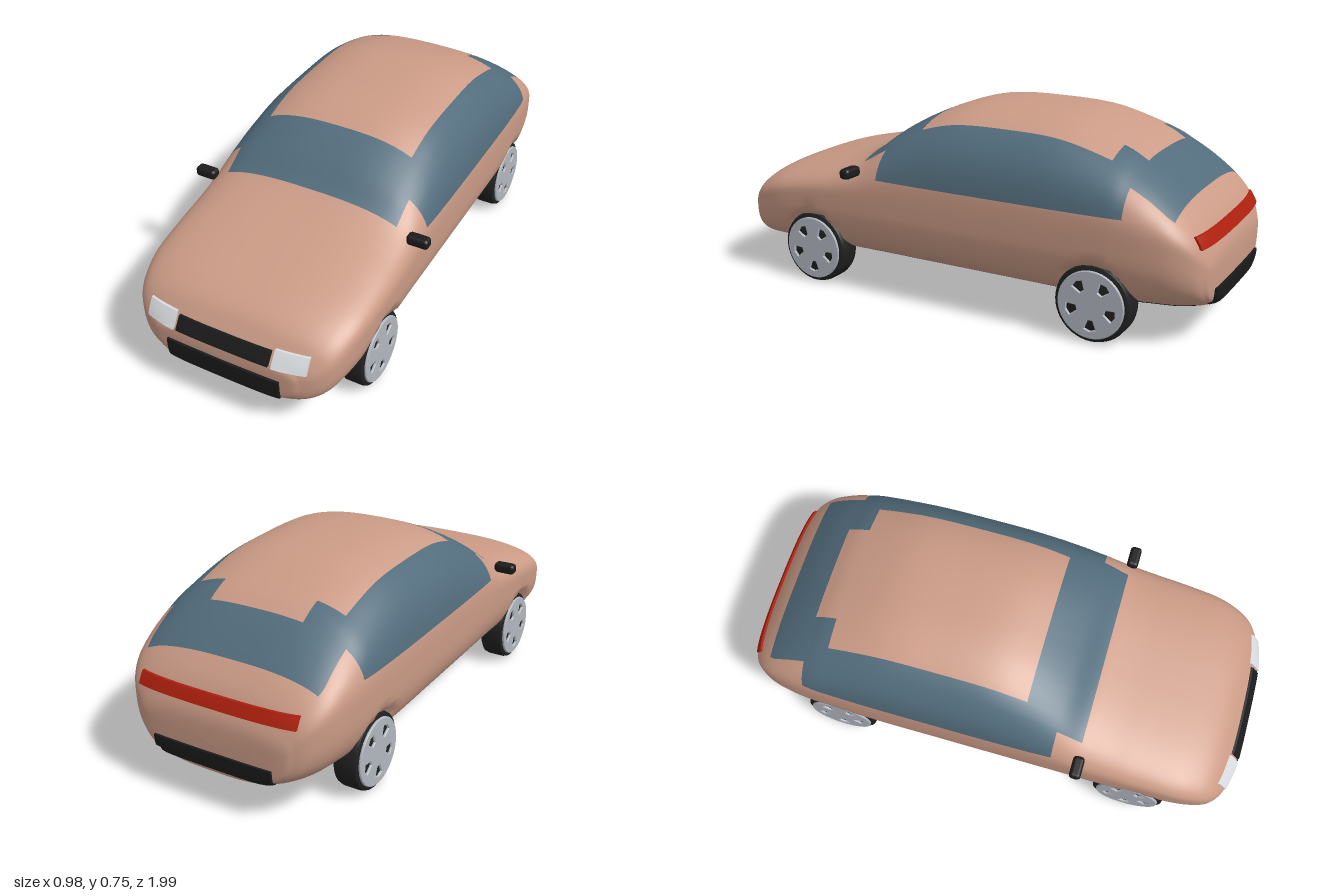
import * as THREE from 'three';
import { toCreasedNormals } from 'three/addons/utils/BufferGeometryUtils.js';
import { RoundedBoxGeometry } from 'three/addons/geometries/RoundedBoxGeometry.js';

const mat = (name, color) => {
  const m = new THREE.MeshStandardMaterial({ color });
  m.name = name;
  return m;
};

// Body stations from nose to tail: z, top y, widest y, bottom y, half width
const stations = [
  [0.985, 0.24, 0.24, 0.24, 0], [0.98, 0.29, 0.24, 0.15, 0.24], [0.965, 0.315, 0.245, 0.125, 0.3],
  [0.94, 0.35, 0.26, 0.11, 0.35], [0.9, 0.395, 0.29, 0.1, 0.388], [0.84, 0.43, 0.32, 0.1, 0.412],
  [0.75, 0.46, 0.35, 0.1, 0.428], [0.6, 0.495, 0.37, 0.1, 0.435], [0.48, 0.523, 0.38, 0.1, 0.437],
  [0.38, 0.56, 0.39, 0.1, 0.438], [0.28, 0.635, 0.39, 0.1, 0.438], [0.15, 0.7, 0.39, 0.1, 0.438],
  [0, 0.742, 0.39, 0.1, 0.438], [-0.2, 0.75, 0.39, 0.1, 0.438], [-0.42, 0.738, 0.39, 0.1, 0.438],
  [-0.62, 0.677, 0.4, 0.1, 0.435], [-0.71, 0.63, 0.4, 0.1, 0.43], [-0.79, 0.577, 0.395, 0.105, 0.42],
  [-0.87, 0.51, 0.38, 0.11, 0.4], [-0.93, 0.445, 0.35, 0.12, 0.365], [-0.965, 0.385, 0.31, 0.13, 0.32],
  [-0.985, 0.33, 0.27, 0.15, 0.25], [-0.99, 0.25, 0.25, 0.25, 0],
];
const WHEEL_Z = 0.604, WHEEL_Y = 0.143;
const TOP = 2.7, LOW = 3; // roundness of the upper and lower section halves

// Smooth interpolation through the stations
function sectionAt(i, t) {
  const at = k => stations[THREE.MathUtils.clamp(k, 0, stations.length - 1)];
  const [a, b, c, d] = [at(i - 1), at(i), at(i + 1), at(i + 2)];
  return b.map((p, k) => 0.5 * (2 * p + (c[k] - a[k]) * t
    + (2 * a[k] - 5 * p + 4 * c[k] - d[k]) * t * t
    + (3 * p - a[k] - 3 * c[k] + d[k]) * t * t * t));
}

// Angles that divide a section: roof lines, beltline, widest line, sill, underside line
function sectionBreaks([, yT, yM, , W]) {
  const atX = (x, f) => Math.asin(Math.min(x / (W + 1e-6), f) ** (TOP / 2));
  const belt = Math.min(0.5, (0.47 - yM) / (yT - yM + 1e-6));
  return [0, atX(0.19, 0.45), atX(0.3, 0.72), atX(0.355, 0.87), Math.acos(belt ** (TOP / 2)), Math.PI / 2,
    Math.PI - Math.acos(0.83 ** (LOW / 2)),
    Math.PI - Math.asin(Math.min(0.14 / (W + 1e-6), 0.45) ** (LOW / 2)), Math.PI];
}

function bodyPoint([z, yT, yM, yB, W], a) {
  const e = 2 / (Math.abs(a) <= Math.PI / 2 ? TOP : LOW), c = Math.cos(a), s = Math.sin(a);
  const y = yM + (c > 0 ? yT - yM : yM - yB) * Math.sign(c) * Math.abs(c) ** e;
  let x = W * Math.abs(s) ** e;
  // shallow recess behind each wheel
  const r = Math.hypot(Math.abs(z) - WHEEL_Z, y - WHEEL_Y);
  x = Math.min(x, THREE.MathUtils.lerp(Math.min(x, 0.39), x, THREE.MathUtils.smoothstep(r, 0.138, 0.16)));
  return [x * Math.sign(s), y, z];
}

// Material slots: 0 paint, 1 glass, 2 black, 3 lamp, 4 red
function bodyColour(band, side, z) {
  const between = (lo, hi) => z > lo && z < hi;
  if (band <= 2 && between(0.15, 0.38)) return 1;
  if ((band === 2 || band === 3) && between(-0.71, 0.28)) return 1;
  if (band <= 2 && between(-0.87, band === 0 ? -0.71 : -0.62)) return 1;
  if (band >= 6 && between(0.38, 0.94)) return band === 6 && side > 0 ? 4 : 3;
  if (band >= 6 && between(-0.93, 0.38)) return 2;
  return 0;
}

function bodyGeometry() {
  const divs = [4, 3, 3, 5, 5, 12, 4, 4], steps = 8;
  // Half ring of (band, fraction), then mirrored to the full ring
  const half = divs.flatMap((n, band) => Array.from({ length: n }, (_, k) => ({ band, f: k / n })));
  const n = half.length, ringSize = 2 * n, rings = [];
  for (let i = 0; i < stations.length - 1; i++)
    for (let k = 0; k < steps; k++) rings.push(sectionAt(i, k / steps));
  rings.push(stations[stations.length - 1]);

  const pos = [], slots = [[], [], [], [], []];
  rings.forEach((sec, i) => {
    const br = sectionBreaks(sec);
    const angles = half.map(({ band, f }) => THREE.MathUtils.lerp(br[band], br[band + 1], f));
    angles.push(Math.PI);
    for (let j = -n; j < n; j++) {
      pos.push(...bodyPoint(sec, Math.sign(j) * angles[Math.abs(j)]));
      if (i === rings.length - 1) continue;
      const band = half[j >= 0 ? j : -j - 1].band;
      const slot = bodyColour(band, j >= 0 ? 1 : -1, (sec[0] + rings[i + 1][0]) / 2);
      const a = i * ringSize + j + n, b = i * ringSize + (j + n + 1) % ringSize;
      slots[slot].push(a, b, a + ringSize, b, b + ringSize, a + ringSize);
    }
  });
  const geo = new THREE.BufferGeometry();
  geo.setAttribute('position', new THREE.Float32BufferAttribute(pos, 3));
  geo.setIndex(slots.flat());
  let start = 0;
  slots.forEach((s, k) => { geo.addGroup(start, s.length, k); start += s.length; });
  geo.computeVertexNormals();
  return geo;
}

// Thin plate wrapped onto the nose (dir 1) or tail (dir -1) of the body
function wrappedPlate(body, dir, x, y, w, h, thick) {
  const geo = new THREE.BoxGeometry(w, h, thick * 2, 20, 4, 1).translate(x, y, 0);
  const p = geo.attributes.position, ray = new THREE.Raycaster();
  for (let i = 0; i < p.count; i++) {
    ray.set(new THREE.Vector3(p.getX(i), p.getY(i), 2 * dir), new THREE.Vector3(0, 0, -dir));
    const hit = ray.intersectObject(body)[0];
    p.setZ(i, p.getZ(i) + (hit ? hit.point.z : 0.9 * dir));
  }
  geo.computeVertexNormals();
  return geo;
}

// Rim disc with five tapered openings
function rimGeometry() {
  const shape = new THREE.Shape().absarc(0, 0, 0.122, 0, Math.PI * 2);
  for (let k = 0; k < 5; k++) {
    const mid = -Math.PI / 2 + k * Math.PI * 0.4;
    const corners = [[0.055, -0.2], [0.094, -0.27], [0.1, 0], [0.094, 0.27], [0.055, 0.2]];
    shape.holes.push(new THREE.Path(corners.map(([r, a]) =>
      new THREE.Vector2(r * Math.cos(mid + a), r * Math.sin(mid + a)))));
  }
  return new THREE.ExtrudeGeometry(shape, { depth: 0.009, bevelEnabled: true, bevelSize: 0.003,
    bevelThickness: 0.003, bevelSegments: 1, curveSegments: 40 }).rotateY(Math.PI / 2);
}

export function createModel() {
  const paint = mat('copper paint', 0xcb9b86), glass = mat('blue glass', 0x526c7c);
  const black = mat('black trim', 0x1b1b1b), lamp = mat('lamp white', 0xdadde0);
  const red = mat('lamp red', 0xb0200e), silver = mat('rim silver', 0xb2b7bf), rubber = mat('tyre rubber', 0x202020);
  const car = new THREE.Group();
  car.name = 'car';
  const add = (parent, name, geo, material) => {
    const mesh = new THREE.Mesh(geo, material);
    mesh.name = name;
    parent.add(mesh);
    return mesh;
  };

  const body = add(car, 'bodyShell', bodyGeometry(), [paint, glass, black, lamp, red]);

  // Nose and tail details
  add(car, 'upperGrille', wrappedPlate(body, 1, 0, 0.311, 0.37, 0.046, 0.009), black);
  add(car, 'lowerGrille', wrappedPlate(body, 1, 0, 0.195, 0.45, 0.08, 0.009), black);
  add(car, 'tailLight', wrappedPlate(body, -1, 0, 0.395, 0.64, 0.042, 0.009), red);
  add(car, 'rearBumperPlate', wrappedPlate(body, -1, 0, 0.187, 0.48, 0.06, 0.009), black);

  // Wheels
  const tyreProfile = [[0, -0.05], [0.128, -0.05], [0.139, -0.043], [0.143, -0.03], [0.143, 0.03],
    [0.139, 0.042], [0.128, 0.047], [0, 0.047]].map(([r, y]) => new THREE.Vector2(r, y));
  const tyre = toCreasedNormals(new THREE.LatheGeometry(tyreProfile, 48).rotateZ(-Math.PI / 2), 0.7);
  const rim = rimGeometry();
  for (const side of [1, -1]) {
    const label = side > 0 ? 'left' : 'right';
    add(car, label + 'Headlight', wrappedPlate(body, 1, side * 0.257, 0.314, 0.122, 0.056, 0.009), lamp);
    add(car, label + 'Mirror', new RoundedBoxGeometry(0.085, 0.04, 0.044, 3, 0.014), black)
      .position.set(side * 0.445, 0.491, 0.385);
    for (const end of [1, -1]) {
      const wheel = new THREE.Group();
      wheel.name = label + (end > 0 ? 'FrontWheel' : 'RearWheel');
      add(wheel, 'tyre', tyre, rubber);
      add(wheel, 'rim', rim, silver).position.x = 0.043;
      wheel.position.set(side * 0.365, WHEEL_Y, end * WHEEL_Z);
      if (side < 0) wheel.rotation.y = Math.PI;
      car.add(wheel);
    }
  }
  return car;
}
